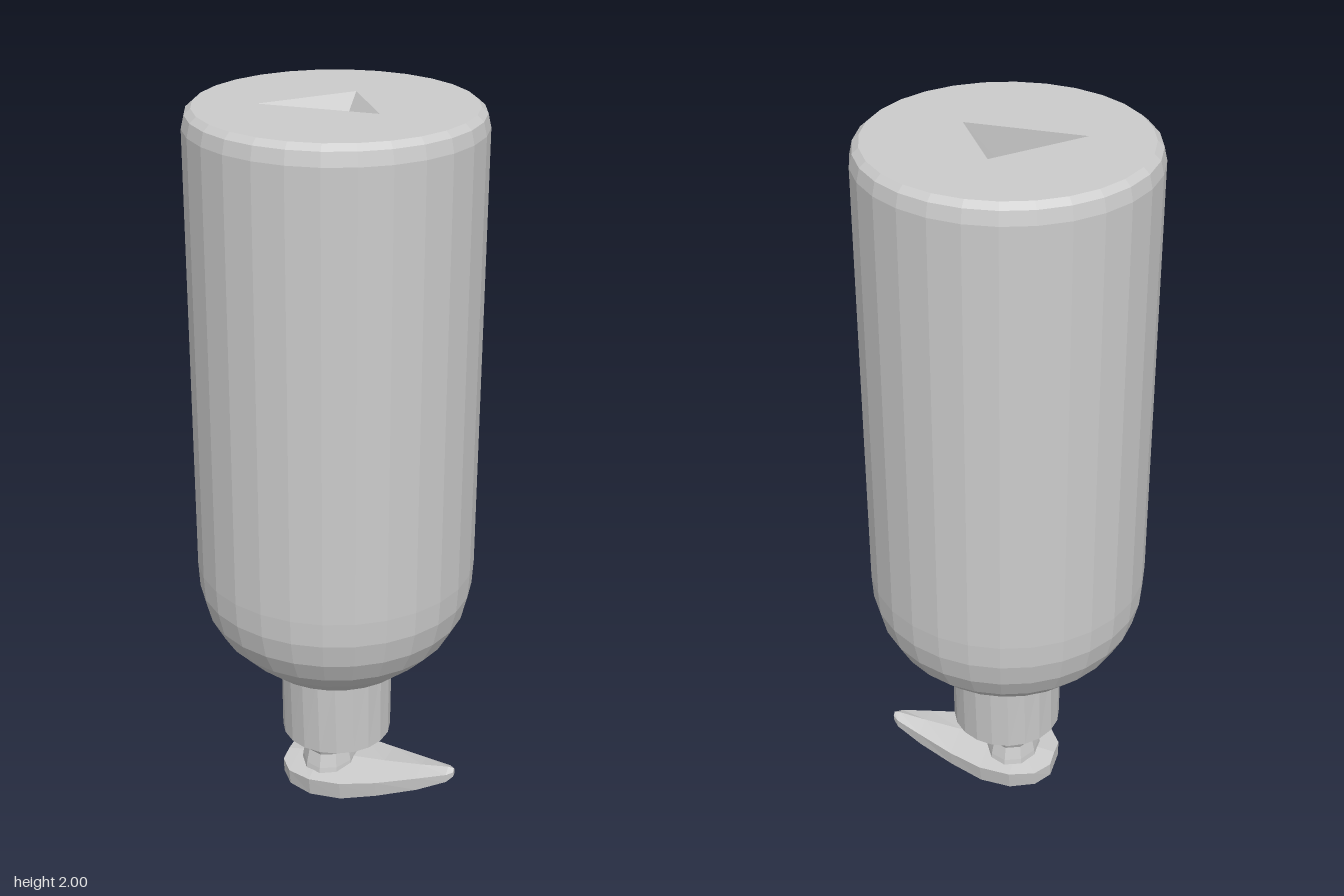
import * as THREE from 'three';

const mat = new THREE.MeshStandardMaterial({ color: 0xcccccc, flatShading: true, side: THREE.DoubleSide });

function add(group, name, geometry, x = 0, y = 0, z = 0) {
  const mesh = new THREE.Mesh(geometry, mat);
  mesh.name = name;
  mesh.position.set(x, y, z);
  group.add(mesh);
  return mesh;
}

const lathe = (points, sides) =>
  new THREE.LatheGeometry(points.map(([r, y]) => new THREE.Vector2(r, y)), sides);

function fromTriangles(positions, index) {
  const g = new THREE.BufferGeometry();
  g.setAttribute('position', new THREE.Float32BufferAttribute(positions, 3));
  g.setIndex(index);
  g.computeVertexNormals();
  return g;
}

// Pump head: five-sided sections [x, half width, bottom, top edge, ridge] joined along x
function headGeometry() {
  const sections = [
    [-0.145, 0.05, 0.01, 0.055, 0.06], [-0.11, 0.1, 0.004, 0.055, 0.065],
    [-0.04, 0.13, 0, 0.06, 0.075], [0.05, 0.125, 0, 0.06, 0.075],
    [0.15, 0.095, 0.014, 0.065, 0.08], [0.26, 0.055, 0.035, 0.078, 0.09],
    [0.34, 0.025, 0.062, 0.088, 0.1], [0.357, 0.01, 0.075, 0.09, 0.098],
  ];
  const pos = [], index = [], n = 5;
  for (const [x, w, b, t, r] of sections)
    pos.push(x, b, -w * 0.9, x, b, w * 0.9, x, t, w, x, r, 0, x, t, -w);
  for (let s = 0; s < sections.length - 1; s++)
    for (let k = 0; k < n; k++) {
      const a = s * n + k, b = s * n + (k + 1) % n;
      index.push(a, a + n, b, b, a + n, b + n);
    }
  const e = (sections.length - 1) * n;
  for (let k = 1; k < n - 1; k++)
    index.push(0, k, k + 1, e, e + k + 1, e + k);
  return fromTriangles(pos, index);
}

export function createModel() {
  const group = new THREE.Group();
  const sides = 28;

  // Upturned bottle with a rounded shoulder
  add(group, 'bottleBody', lathe([
    [0, 0.4], [0.16, 0.405], [0.22, 0.435], [0.275, 0.483], [0.325, 0.535], [0.36, 0.6],
    [0.377, 0.67], [0.381, 0.74], [0.382, 1.95], [0.374, 1.985], [0.357, 2],
  ], sides));

  // Flat base with a triangular opening
  const rim = [[-0.185, 0.06], [0.13, 0.06], [0.01, -0.135]];
  const disc = new THREE.Shape();
  for (let i = 0; i < sides; i++) {
    const a = (i / sides) * Math.PI * 2;
    disc[i ? 'lineTo' : 'moveTo'](0.357 * Math.sin(a), 0.357 * Math.cos(a));
  }
  disc.holes.push(new THREE.Path(rim.map(([x, z]) => new THREE.Vector2(x, -z))));
  add(group, 'bottleBase', new THREE.ShapeGeometry(disc).rotateX(-Math.PI / 2), 0, 2, 0);

  // Dent under the opening: upright front wall and two sloping faces
  const dent = rim.flatMap(([x, z]) => [x, 2, z]).concat([0.01, 1.88, 0.06]);
  add(group, 'baseDent', fromTriangles(dent, [0, 3, 1, 1, 3, 2, 2, 3, 0]));

  // Screw collar, slightly flared front to back near the shoulder
  const collar = new THREE.CylinderGeometry(0.155, 0.155, 0.25, 20);
  const p = collar.attributes.position;
  for (let i = 0; i < p.count; i++)
    if (p.getY(i) > 0) p.setZ(i, p.getZ(i) * 1.12);
  collar.computeVertexNormals();
  add(group, 'collar', collar, 0.004, 0.31, 0.005);
  add(group, 'collarRim', lathe([[0, 0.155], [0.09, 0.16], [0.15, 0.185]], 20), 0.004, 0, 0.005);

  // Waisted pump stem
  const stem = add(group, 'pumpStem', lathe([[0.1, 0.045], [0.095, 0.08], [0.085, 0.12], [0.12, 0.19]], 10), -0.018);
  stem.scale.x = 0.8;

  // Head with tapering spout
  add(group, 'pumpHead', headGeometry());
  return group;
}
